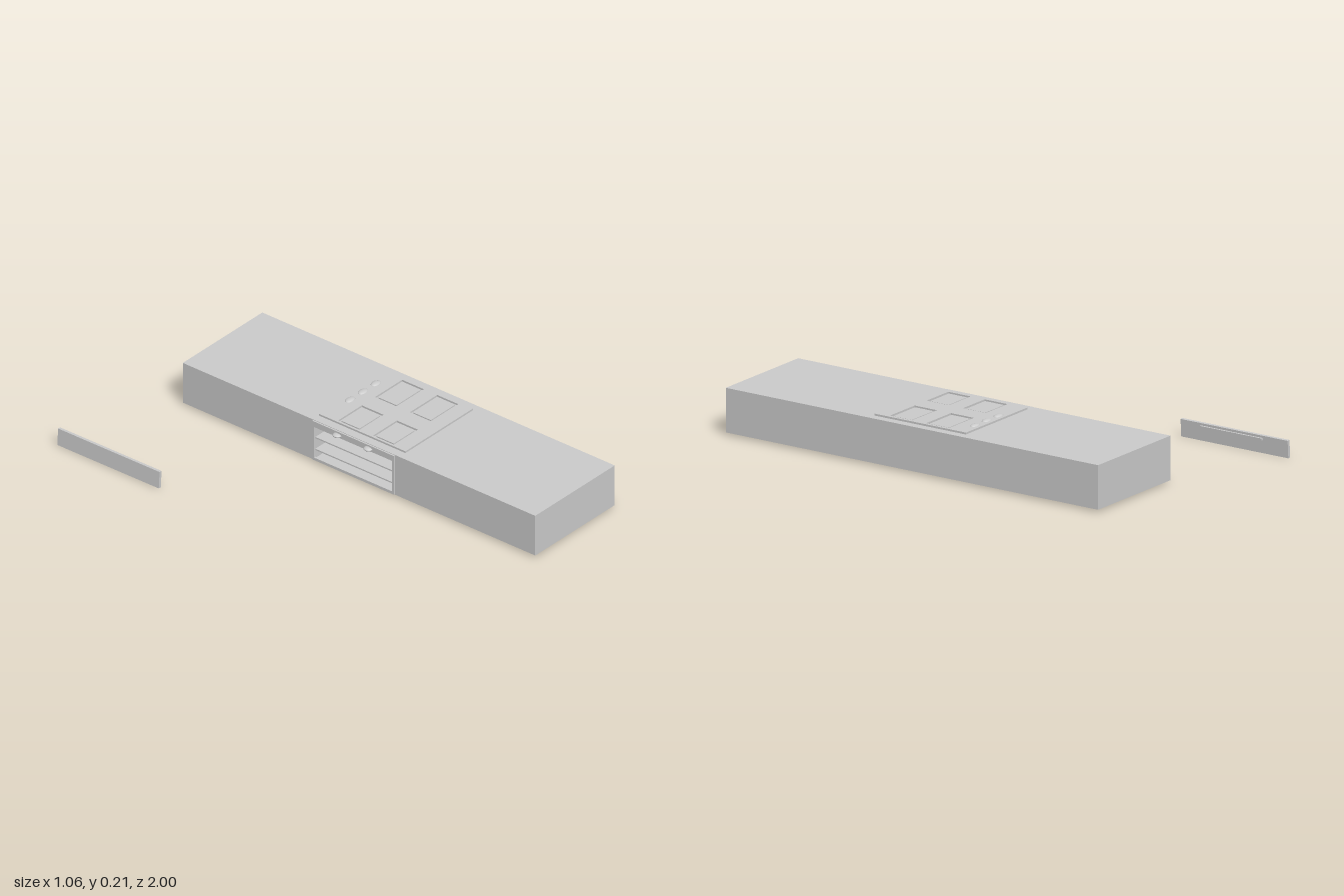
import * as THREE from 'three';

export function createModel() {
  const model = new THREE.Group();
  const mat = new THREE.MeshStandardMaterial({ color: 0xcccccc, side: THREE.DoubleSide });

  const add = (parent, name, geo, x = 0, y = 0, z = 0) => {
    const mesh = new THREE.Mesh(geo, mat);
    mesh.name = name;
    mesh.position.set(x, y, z);
    parent.add(mesh);
    return mesh;
  };
  const box = (parent, name, w, h, d, x, y, z) =>
    add(parent, name, new THREE.BoxGeometry(w, h, d), x, y, z);
  const dome = (parent, name, rx, ry, rz, x, y, z) =>
    add(parent, name, new THREE.SphereGeometry(1, 20, 12), x, y, z).scale.set(rx, ry, rz);
  // Plan outline (x, -z) raised upwards
  const slab = (shape, height) =>
    new THREE.ExtrudeGeometry(shape, { depth: height, bevelEnabled: false }).rotateX(-Math.PI / 2);
  const rect = (Type, x0, x1, z0, z1) => {
    const p = new Type();
    p.moveTo(x0, -z0);
    p.lineTo(x0, -z1);
    p.lineTo(x1, -z1);
    p.lineTo(x1, -z0);
    p.closePath();
    return p;
  };

  // Long counter with the cooker built in, turned very slightly
  const counter = new THREE.Group();
  counter.name = 'counter';
  counter.position.set(0.274, 0, 0.09);
  counter.rotation.y = 0.0085;
  model.add(counter);

  const W = 0.2475, L = 0.9075;
  const ovenZ0 = -0.235, ovenZ1 = 0.185, ovenZ = -0.025, depth = 0.3;
  const body = new THREE.Shape([
    [-W, L], [W, L], [W, -L], [-W, -L],
    [-W, ovenZ0 + 0.01], [-W + depth, ovenZ0 + 0.01],
    [-W + depth, ovenZ1 - 0.01], [-W, ovenZ1 - 0.01],
  ].map(([x, z]) => new THREE.Vector2(x, -z)));
  add(counter, 'counterBody', slab(body, 0.165), 0, 0.02, 0);
  box(counter, 'counterBase', 2 * W, 0.01, 2 * L, 0, 0.015, 0);
  box(counter, 'counterTop', 2 * W, 0.01, 2 * L, 0, 0.19, 0);

  // Oven opening: frame, control strip, shelves and knobs
  const face = -W - 0.002;
  for (const z of [ovenZ0 + 0.005, ovenZ1 - 0.005])
    box(counter, 'ovenSideFrame', 0.01, 0.18, 0.01, face, 0.103, z);
  box(counter, 'ovenBottomFrame', 0.01, 0.012, 0.42, face, 0.019, ovenZ);
  box(counter, 'controlStrip', 0.01, 0.026, 0.42, face, 0.18, ovenZ);
  for (const y of [0.06, 0.115])
    box(counter, 'ovenShelf', depth, 0.006, 0.4, -W + depth / 2, y, ovenZ);
  for (const z of [-0.105, 0.055])
    dome(counter, 'ovenKnob', 0.02, 0.008, 0.02, -W - 0.008, 0.178, z);

  // Hob plate with four wells, a pad in each
  const plate = rect(THREE.Shape, -0.21, 0.212, -0.238, 0.208);
  for (const [x0, x1] of [[-0.208, -0.044], [0.022, 0.207]]) {
    for (const [z0, z1] of [[-0.155, -0.027], [0.025, 0.15]]) {
      plate.holes.push(rect(THREE.Path, x0 + 0.008, x1 - 0.008, z0 + 0.008, z1 - 0.008));
      box(counter, 'burnerPad', x1 - x0 - 0.036, 0.005, z1 - z0 - 0.036,
        (x0 + x1) / 2, 0.1975, (z0 + z1) / 2);
    }
  }
  add(counter, 'hobPlate', slab(plate, 0.008), 0, 0.195, 0);
  for (const x of [-0.049, 0.031, 0.111])
    dome(counter, 'hobKnob', 0.026, 0.008, 0.017, x, 0.202, -0.21);

  // Detached oven door, leaning a little, with its handle
  const door = new THREE.Group();
  door.name = 'ovenDoor';
  door.position.set(-0.523, 0.0375, -0.74);
  door.rotation.set(0, 0.014, -0.07);
  model.add(door);
  box(door, 'doorPanel', 0.013, 0.074, 0.52, 0, 0, 0);
  box(door, 'doorHandle', 0.007, 0.009, 0.3, 0.0125, 0.024, 0.01);
  for (const z of [-0.13, 0.15])
    box(door, 'handleMount', 0.006, 0.007, 0.02, 0.008, 0.024, z);

  return model;
}
